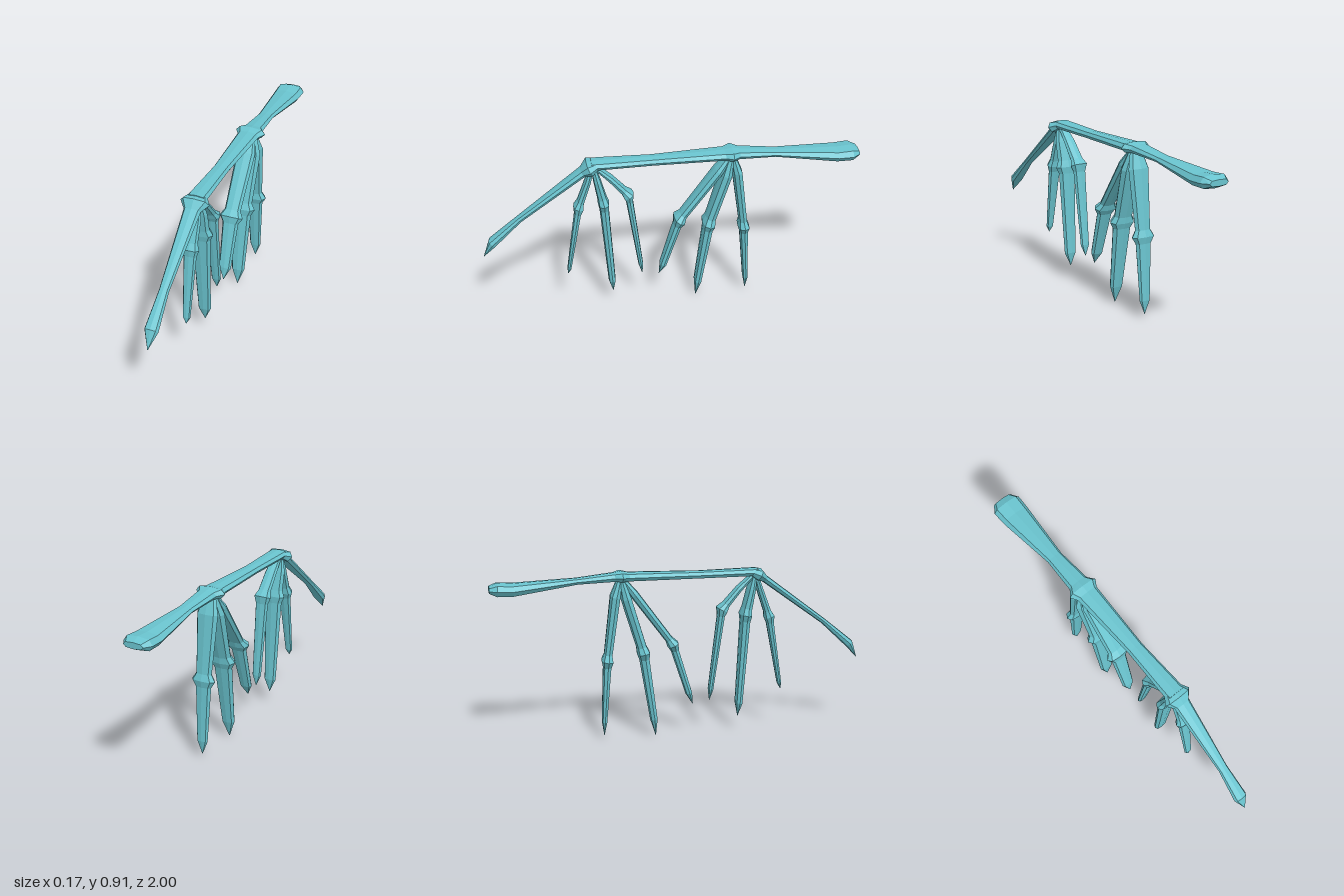
import * as THREE from 'three';

// Flattened octagonal section: wide in x, thin across the bone
const SECTION = [[1, 0], [0.76, 0.8], [0, 1], [-0.76, 0.8], [-1, 0], [-0.76, -0.8], [0, -1], [0.76, -0.8]];

// Loft the section along stations [z, y, halfWidth, halfThickness] in the middle plane
function boneGeometry(stations) {
  const n = SECTION.length, last = stations.length - 1;
  const pos = [], idx = [];
  stations.forEach(([z, y, w, h], i) => {
    const a = stations[Math.max(i - 1, 0)], b = stations[Math.min(i + 1, last)];
    const t = new THREE.Vector2(b[0] - a[0], b[1] - a[1]).normalize(); // (z, y)
    for (const [c, s] of SECTION) pos.push(w * c, y + t.x * h * s, z - t.y * h * s);
  });
  for (let i = 0; i < last; i++) {
    for (let j = 0; j < n; j++) {
      const k = (j + 1) % n, a = i * n + j, b = i * n + k, c = b + n, d = a + n;
      idx.push(a, b, c, a, c, d);
    }
  }
  // end caps
  for (let j = 1; j < n - 1; j++) {
    idx.push(0, j + 1, j, last * n, last * n + j, last * n + j + 1);
  }
  const g = new THREE.BufferGeometry();
  g.setAttribute('position', new THREE.Float32BufferAttribute(pos, 3));
  g.setIndex(idx);
  const flat = g.toNonIndexed();
  flat.computeVertexNormals();
  return flat;
}

// Stations for a leg: thigh, bulging knee collar, tapering shin, pointed tip
function legStations({ thigh, knee, ring, tip, kneeW, kneeH, shinW, shinH, endW, endH }) {
  const toward = (from, to, dist) => {
    const dz = to[0] - from[0], dy = to[1] - from[1], l = Math.hypot(dz, dy);
    return [from[0] + dz / l * dist, from[1] + dy / l * dist];
  };
  return [
    ...thigh,
    [...toward(knee, thigh[thigh.length - 1], 0.035), shinW, shinH],
    [...knee, kneeW, kneeH],
    [...toward(knee, ring, 0.035), shinW, shinH],
    [...ring, endW, endH],
    [...tip, 0.001, 0.001],
  ];
}

const LEGS = {
  frontLegOuter: {
    thigh: [[0.412, 0.87, 0.028, 0.012], [0.435, 0.79, 0.036, 0.016]],
    knee: [0.49, 0.636], ring: [0.555, 0.26], tip: [0.563, 0.225],
    kneeW: 0.046, kneeH: 0.028, shinW: 0.035, shinH: 0.019, endW: 0.021, endH: 0.011,
  },
  frontLegMiddle: {
    thigh: [[0.405, 0.87, 0.032, 0.012], [0.388, 0.79, 0.05, 0.02]],
    knee: [0.358, 0.652], ring: [0.326, 0.16], tip: [0.321, 0.085],
    kneeW: 0.066, kneeH: 0.03, shinW: 0.05, shinH: 0.025, endW: 0.035, endH: 0.019,
  },
  frontLegInner: {
    thigh: [[0.4, 0.87, 0.025, 0.011], [0.32, 0.795, 0.034, 0.016]],
    knee: [0.226, 0.686], ring: [0.167, 0.245], tip: [0.16, 0.185],
    kneeW: 0.05, kneeH: 0.03, shinW: 0.037, shinH: 0.019, endW: 0.026, endH: 0.013,
  },
  backLegInner: {
    thigh: [[-0.31, 0.87, 0.03, 0.014], [-0.25, 0.79, 0.052, 0.023]],
    knee: [-0.043, 0.51], ring: [0.045, 0.235], tip: [0.068, 0.17],
    kneeW: 0.067, kneeH: 0.031, shinW: 0.045, shinH: 0.021, endW: 0.034, endH: 0.018,
  },
  backLegMiddle: {
    thigh: [[-0.318, 0.87, 0.035, 0.014], [-0.293, 0.77, 0.066, 0.028]],
    knee: [-0.203, 0.472], ring: [-0.148, 0.1], tip: [-0.137, 0.005],
    kneeW: 0.073, kneeH: 0.034, shinW: 0.053, shinH: 0.027, endW: 0.037, endH: 0.02,
  },
  backLegOuter: {
    thigh: [[-0.325, 0.87, 0.035, 0.014], [-0.35, 0.78, 0.06, 0.026]],
    knee: [-0.396, 0.436], ring: [-0.417, 0.1], tip: [-0.418, 0.025],
    kneeW: 0.066, kneeH: 0.031, shinW: 0.045, shinH: 0.022, endW: 0.031, endH: 0.014,
  },
};

export function createModel() {
  const group = new THREE.Group();
  const bone = new THREE.MeshStandardMaterial({ color: 0x6ac4cf, flatShading: true });
  bone.name = 'pale teal';
  const add = (name, stations) => {
    const mesh = new THREE.Mesh(boneGeometry(stations), bone);
    mesh.name = name;
    group.add(mesh);
  };

  // Horizontal spine with a collar over the back legs
  add('spine', [
    [0.415, 0.884, 0.052, 0.021],
    [0.36, 0.883, 0.052, 0.021],
    [0.1, 0.88, 0.043, 0.02],
    [-0.28, 0.884, 0.06, 0.023],
    [-0.318, 0.887, 0.083, 0.028],
    [-0.355, 0.884, 0.055, 0.023],
    [-0.55, 0.87, 0.043, 0.016],
    [-0.88, 0.839, 0.077, 0.032],
    [-0.96, 0.842, 0.08, 0.034],
    [-1.0, 0.843, 0.054, 0.016],
  ]);

  // Front limb with shoulder collar and pointed tip
  add('frontLimb', [
    [0.385, 0.884, 0.05, 0.02],
    [0.425, 0.87, 0.077, 0.034],
    [0.46, 0.845, 0.045, 0.02],
    [0.8, 0.595, 0.026, 0.015],
    [0.95, 0.465, 0.037, 0.023],
    [1.0, 0.383, 0.001, 0.001],
  ]);

  for (const [name, leg] of Object.entries(LEGS)) add(name, legStations(leg));
  return group;
}
